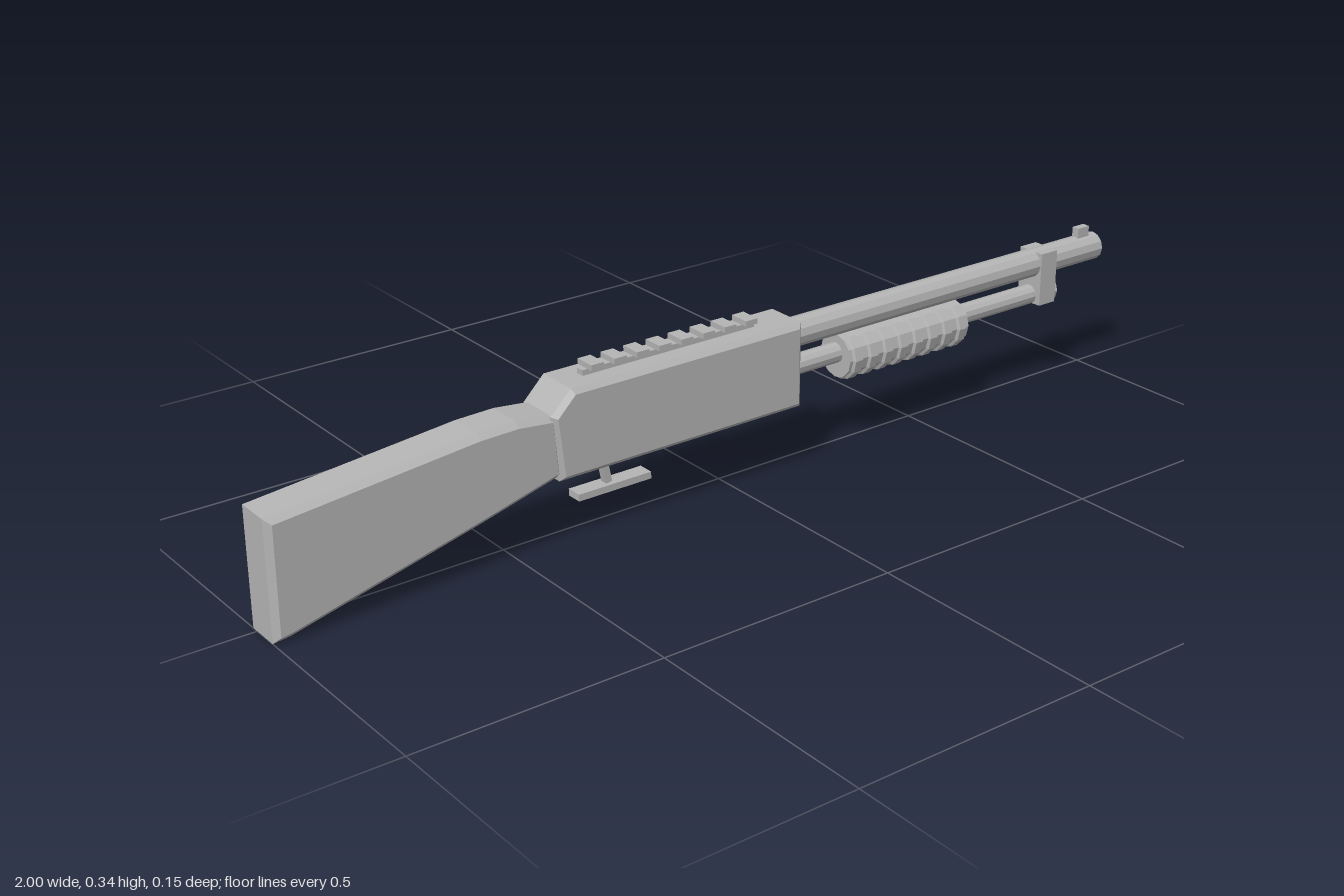
import * as THREE from 'three';

const CZ = 0.021; // centre plane of the gun

export function createModel() {
  const group = new THREE.Group();
  const grey = new THREE.MeshStandardMaterial({ color: 0xb4b4b4 });

  // Adds a faceted mesh
  function add(name, geometry, x = 0, y = 0, z = 0, parent = group) {
    const g = geometry.index ? geometry.toNonIndexed() : geometry;
    g.computeVertexNormals();
    const mesh = new THREE.Mesh(g, grey);
    mesh.name = name;
    mesh.position.set(x, y, z);
    parent.add(mesh);
    return mesh;
  }

  // Box given by its limits on each axis
  function box(name, x0, x1, y0, y1, z0, z1) {
    return add(name, new THREE.BoxGeometry(x1 - x0, y1 - y0, z1 - z0),
      (x0 + x1) / 2, (y0 + y1) / 2, (z0 + z1) / 2);
  }

  // Cylinder lying along x
  function rod(name, x0, x1, y, r, sides = 12) {
    const g = new THREE.CylinderGeometry(r, r, x1 - x0, sides);
    g.rotateZ(-Math.PI / 2);
    return add(name, g, (x0 + x1) / 2, y, CZ);
  }

  // Side profile extruded across z with chamfered edges inside the outline
  function slab(name, points, width, bevel) {
    const shape = new THREE.Shape(points.map(([x, y]) => new THREE.Vector2(x, y)));
    const g = new THREE.ExtrudeGeometry(shape, {
      depth: width - 2 * bevel, bevelEnabled: true, bevelSegments: 1,
      bevelSize: bevel, bevelOffset: -bevel, bevelThickness: bevel,
    });
    g.translate(0, 0, CZ - width / 2 + bevel);
    return add(name, g);
  }

  // Stock and receiver
  slab('stock', [[-1, 0], [-0.965, 0.004], [-0.58, 0.1], [-0.405, 0.147],
    [-0.415, 0.271], [-0.5, 0.28], [-0.58, 0.278], [-1, 0.237]], 0.095, 0.012);
  slab('receiver', [[-0.415, 0.139], [0.15, 0.139], [0.15, 0.315],
    [-0.385, 0.315], [-0.43, 0.27]], 0.108, 0.01);

  // Barrel, magazine tube and muzzle fittings
  rod('barrel', 0.14, 1, 0.276, 0.03);
  rod('magazineTube', 0.14, 0.83, 0.206, 0.021);
  rod('magazineCap', 0.825, 0.875, 0.206, 0.025, 10);
  box('barrelClamp', 0.815, 0.86, 0.188, 0.303, -0.011, 0.053);
  box('frontSight', 0.945, 0.977, 0.295, 0.326, 0.013, 0.03);

  // Ribbed pump grip
  const profile = [[0, 0.278], [0.046, 0.278]];
  for (let i = 0; i < 8; i++) {
    const x = 0.285 + i * 0.04;
    profile.push([0.046, x], [0.052, x + 0.003], [0.052, x + 0.021], [0.046, x + 0.024]);
  }
  profile.push([0.046, 0.597], [0, 0.597]);
  const grip = new THREE.LatheGeometry(profile.map(([r, x]) => new THREE.Vector2(r, x)), 12);
  grip.rotateZ(-Math.PI / 2);
  add('pumpGrip', grip, 0, 0.199, CZ);

  // Top rail with its teeth
  box('railBase', -0.335, 0.062, 0.31, 0.326, 0.012, 0.03);
  for (let i = 0; i < 8; i++) {
    const x = -0.31 + i * 0.051;
    box('railTooth', x - 0.014, x + 0.014, 0.326, 0.337, -0.001, 0.043);
  }

  // Trigger and the plate below it
  const trigger = box('trigger', -0.294, -0.28, 0.084, 0.15, 0.013, 0.029);
  trigger.rotation.z = 0.2;
  box('triggerPlate', -0.355, -0.19, 0.07, 0.084, 0.004, 0.038);

  // Spare shells on the right side
  box('shellHolder', -0.265, -0.03, 0.176, 0.253, -0.047, -0.03);
  for (let i = 0; i < 4; i++) {
    const x = -0.227 + i * 0.052;
    const shell = new THREE.Group();
    shell.name = 'spareShell';
    shell.position.set(x, 0, -0.056);
    add('shellCase', new THREE.CylinderGeometry(0.0155, 0.0155, 0.077, 12), 0, 0.2265, 0, shell);
    add('shellHead', new THREE.CylinderGeometry(0.0175, 0.0175, 0.024, 12), 0, 0.177, 0, shell);
    group.add(shell);
  }
  return group;
}
